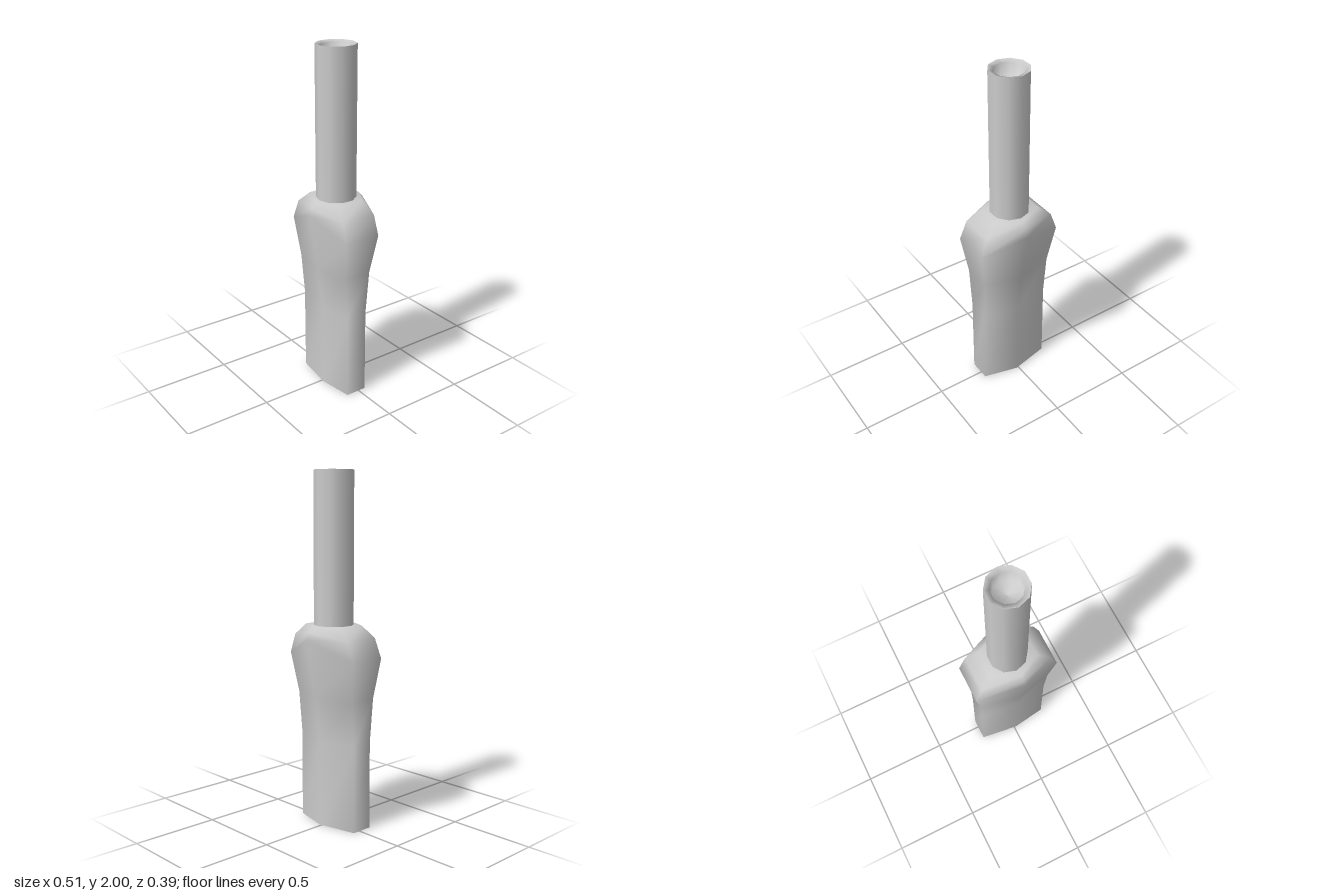
import * as THREE from 'three';

const material = new THREE.MeshStandardMaterial({ color: 0xcccccc, side: THREE.DoubleSide });

// Cross-sections of the body, bottom to top:
// [side y, half width, side front z, side back z, ridge y, ridge front z, ridge back z]
const SECTIONS = [
  [0, 0.215, 0.08, -0.045, 0, 0.11, -0.095],
  [0.5, 0.213, 0.08, -0.045, 0.5, 0.11, -0.095],
  [0.75, 0.216, 0.1, -0.065, 0.75, 0.145, -0.13],
  [0.98, 0.253, 0.123, -0.095, 1.085, 0.193, -0.193],
  [1.09, 0.212, 0.115, -0.095, 1.125, 0.178, -0.168],
  [1.155, 0.14, 0.085, -0.075, 1.155, 0.155, -0.14],
];

// Six-sided lofted shell, open at the foot and closed at the shoulder
function createBodyGeometry() {
  const positions = [];
  const indices = [];
  const ridgeX = 0.012;
  for (const [y, w, front, back, ridgeY, ridgeFront, ridgeBack] of SECTIONS) {
    positions.push(
      ridgeX, ridgeY, ridgeFront, w, y, front, w, y, back,
      ridgeX, ridgeY, ridgeBack, -w, y, back, -w, y, front
    );
  }
  for (let s = 0; s < SECTIONS.length - 1; s++) {
    for (let i = 0; i < 6; i++) {
      const a = s * 6 + i;
      const b = s * 6 + (i + 1) % 6;
      indices.push(a, b, b + 6, a, b + 6, a + 6);
    }
  }
  // Shoulder cap
  const center = SECTIONS.length * 6;
  positions.push(0, 1.155, 0.005);
  for (let i = 0; i < 6; i++) indices.push(center - 6 + i, center - 6 + (i + 1) % 6, center);

  const geometry = new THREE.BufferGeometry();
  geometry.setAttribute('position', new THREE.Float32BufferAttribute(positions, 3));
  geometry.setIndex(indices);
  geometry.computeVertexNormals();
  return geometry;
}

function lathe(points) {
  return new THREE.LatheGeometry(points.map(([r, y]) => new THREE.Vector2(r, y)), 10);
}

export function createModel() {
  const model = new THREE.Group();
  const add = (name, geometry, parent) => {
    const mesh = new THREE.Mesh(geometry, material);
    mesh.name = name;
    parent.add(mesh);
  };

  add('body', createBodyGeometry(), model);

  // Ten-sided tube with a hollow end
  const tube = new THREE.Group();
  tube.name = 'tube';
  tube.position.z = 0.005;
  add('tubeWall', lathe([[0.112, 1.15], [0.112, 2]]), tube);
  add('tubeMouth', lathe([[0.112, 2], [0.083, 1.99], [0.075, 1.93], [0, 1.91]]), tube);
  model.add(tube);

  return model;
}
